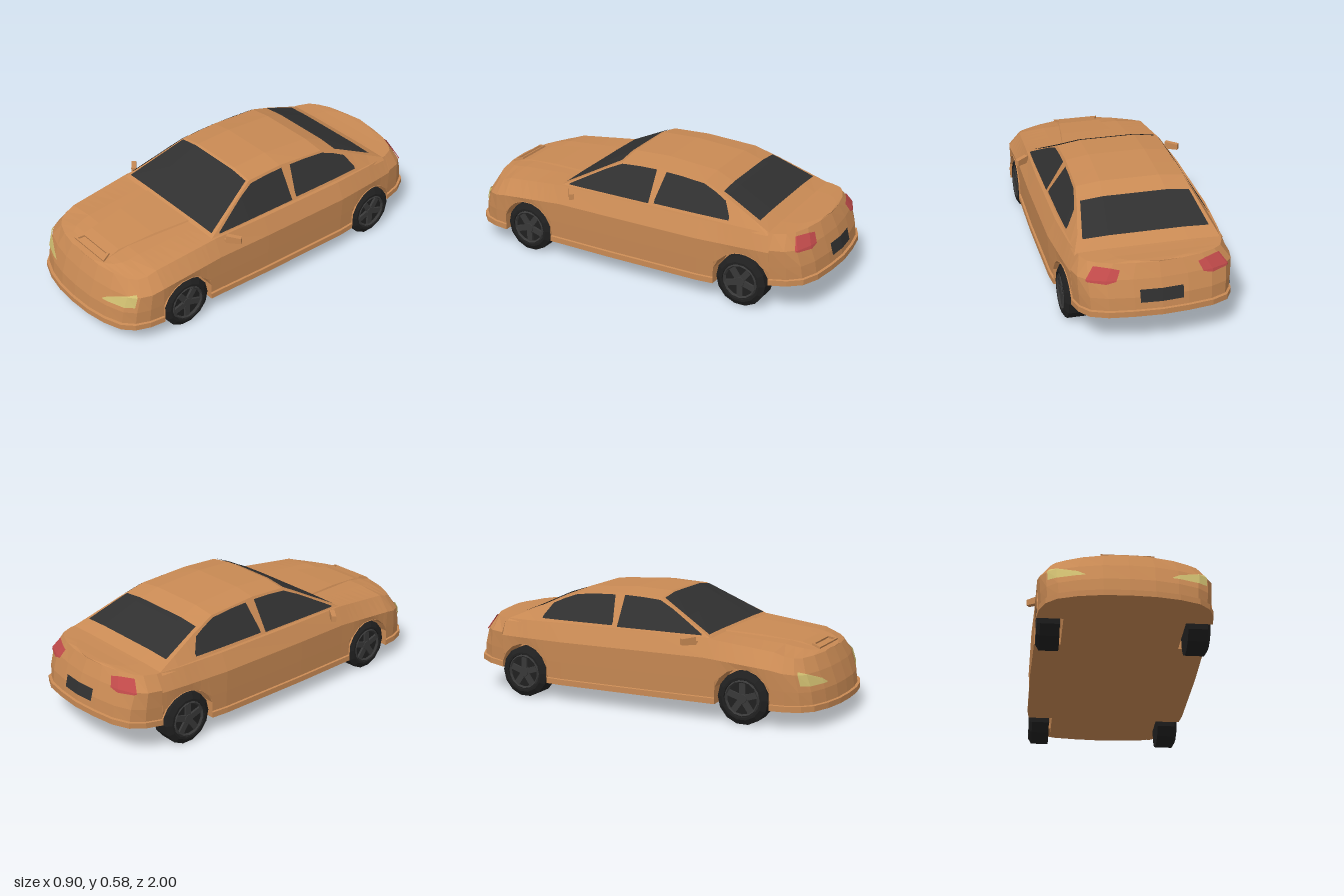
import * as THREE from 'three';

const mat = (name, color) => Object.assign(
  new THREE.MeshStandardMaterial({ color, flatShading: true, side: THREE.DoubleSide }), { name });

const lerp = THREE.MathUtils.lerp;

// Linear look-up in a table whose rows start with a falling z
function sample(table, z) {
  let i = 0;
  while (i < table.length - 2 && table[i + 1][0] > z) i++;
  const a = table[i], b = table[i + 1], t = (a[0] - z) / (a[0] - b[0]);
  return a.map((v, k) => lerp(v, b[k], t));
}

// Skin over sections running from front to back, each from +x up and over to -x
function loft(sections) {
  const pos = [];
  for (let i = 0; i < sections.length - 1; i++) {
    const s = sections[i], n = sections[i + 1];
    for (let j = 0; j < s.length - 1; j++) {
      pos.push(...s[j], ...n[j], ...s[j + 1], ...n[j], ...n[j + 1], ...s[j + 1]);
    }
  }
  const g = new THREE.BufferGeometry();
  g.setAttribute('position', new THREE.Float32BufferAttribute(pos, 3));
  g.computeVertexNormals();
  return g;
}

const flip = pts => pts.map(([x, y, z]) => [-x, y, z]).reverse();
// Full section from a half that runs from the top centre outward and down
const ring = half => [...half].reverse().concat(flip([...half].reverse()).slice(1));

// Body stations: z, half width, shoulder half width, shoulder y, centre y, lean of the ends
const BODY = [
  [1, 0, 0, .34, .342, .085], [.995, .12, .11, .338, .343, .085], [.975, .23, .21, .335, .347, .085],
  [.94, .325, .285, .332, .352, .08], [.89, .375, .325, .335, .36, .06], [.82, .402, .345, .345, .367, .03],
  [.742, .411, .352, .362, .377, 0], [.4, .413, .37, .4, .402, 0], [.1, .42, .38, .402, .404, 0],
  [-.4, .42, .38, .4, .402, 0], [-.63, .4, .365, .397, .401, 0], [-.772, .385, .345, .396, .4, 0],
  [-.86, .37, .32, .397, .401, -.03], [-.93, .33, .28, .398, .403, -.07],
  [-.97, .25, .21, .4, .405, -.08], [-.99, .13, .11, .4, .405, -.08], [-1, 0, 0, .4, .405, -.08],
];
// Cabin stations: z, centre y, edge y, edge half width, belt half width
const CABIN = [
  [.42, .397, .395, .36, .372], [.1, .576, .558, .262, .372], [-.1, .584, .567, .262, .372],
  [-.37, .565, .55, .27, .372], [-.5, .515, .503, .293, .37], [-.75, .4, .396, .345, .362],
];
const AXLES = [.6, -.63];

function arch(z) {
  const base = z < -.77 ? .14 + (-.77 - z) * .11 : .09;
  for (const c of AXLES) {
    const d = Math.abs(z - c);
    if (d < .1405) return .13 + Math.sqrt(.147 ** 2 - d * d);
  }
  return base;
}

// Half section of the body: hood, shoulder, side, lip, arch roof, inner arch wall, floor
function bodyHalf(z) {
  const [, w, ws, ys, yc, dz] = sample(BODY, z);
  const floor = z < -.77 ? arch(z) : .09, low = arch(z);
  const up = y => Math.max(y, low), inner = Math.min(.285, w);
  return [
    [0, yc, z - dz], [ws * .6, yc, z - dz], [ws, ys, z - dz],
    [w, up(lerp(floor, ys, .72)), z - dz * .6],
    [w * .988, up(lerp(floor, ys, .38)), z - dz * .25],
    [w * .975, up(floor + .03), z - dz * .15],
    [w, up(floor + .028), z], [w, low, z], [inner, low, z], [inner, floor, z], [0, floor, z],
  ];
}

// Thin patch on the body skin; columns are [station z, low y, high y]
function bodyPatch(cols, side) {
  const at = (z, y) => {
    const h = bodyHalf(z).slice(2, 6);
    let i = 0;
    while (i < 2 && h[i + 1][1] > y) i++;
    const t = (h[i][1] - y) / (h[i][1] - h[i + 1][1]);
    const p = h[i].map((v, k) => lerp(v, h[i + 1][k], t));
    return [p[0] + (p[0] > .02 ? .004 : 0), y, p[2] + Math.sign(z) * .006];
  };
  return loft(cols.map(([z, y0, y1]) => {
    const mid = THREE.MathUtils.clamp(bodyHalf(z)[3][1], y0, y1);
    const pts = [at(z, y0), at(z, mid), at(z, y1)];
    return side > 0 ? pts : flip(pts);
  }));
}

// Side window on the cabin; columns are [z, low y, high y]
function sideWindow(cols, side) {
  return loft(cols.map(([z, y0, y1]) => {
    const [, , ye, xe, xb] = sample(CABIN, z);
    const pts = [y0, y1].map(y => [lerp(xb, xe, (y - .385) / (ye - .385)) + .005, y + .003, z]);
    return side > 0 ? pts : flip(pts);
  }));
}

// Front or rear screen; rows are [z, fraction of the cabin width]
function screen(rows) {
  return loft(rows.map(([z, f]) => {
    const [, yc, ye, xe] = sample(CABIN, z);
    const lift = .005;
    return ring([[0, yc + lift, z], [xe * .55, yc + lift, z],
      [xe * f, lerp(yc, ye, (f - .55) / .45) + lift, z]]);
  }));
}

export function createModel() {
  const car = new THREE.Group();
  car.name = 'car';
  const paint = mat('orange paint', 0xc98a54), glass = mat('dark glass', 0x303030);
  const rubber = mat('tyre rubber', 0x202020), metal = mat('dark rim', 0x383838);
  const lamp = mat('headlight yellow', 0xd0be70), red = mat('tail light red', 0xc04a4a);
  const add = (name, geo, m, parent = car) => {
    const mesh = new THREE.Mesh(geo, m);
    mesh.name = name;
    parent.add(mesh);
    return mesh;
  };

  // Body shell with wheel arches
  const zs = BODY.map(r => r[0]);
  for (const c of AXLES) {
    for (const d of [.141, .14, .115, .075, .03]) zs.push(c + d, c - d);
  }
  zs.sort((a, b) => b - a);
  add('body', loft(zs.map(z => ring(bodyHalf(z)))), paint);

  // Cabin and roof
  const cz = CABIN.map(r => r[0]).concat([.34, .26, .18, 0, -.24, -.44, -.56, -.65]).sort((a, b) => b - a);
  add('cabin', loft(cz.map(z => {
    const [, yc, ye, xe, xb] = sample(CABIN, z);
    return ring([[0, yc, z], [xe * .55, yc, z], [xe, ye, z], [xb, .385, z]]);
  })), paint);
  add('windshield', screen([[.396, .95], [.26, .95], [.115, .95]]), glass);
  add('rearWindow', screen([[-.47, .94], [-.5, .94], [-.685, .93]]), glass);

  // Hood bulge and its intake frame
  add('hoodBulge', loft([[.885, .12, .346], [.79, .115, .374], [.6, .14, .396], [.41, .17, .408]]
    .map(([z, w, y]) => ring([[0, y, z], [w, y, z], [w + .015, y - .025, z]]))), paint);
  const frame = new THREE.Shape([[-.125, -.025], [.125, -.025], [.105, .025], [-.105, .025]]
    .map(p => new THREE.Vector2(...p)));
  frame.holes.push(new THREE.Path([[-.108, -.016], [-.094, .016], [.094, .016], [.108, -.016]]
    .map(p => new THREE.Vector2(...p))));
  const intake = add('intakeFrame', new THREE.ExtrudeGeometry(frame, { depth: .012, bevelEnabled: false }), paint);
  intake.position.set(0, .352, .86);
  intake.rotation.x = -Math.PI / 2 + .27;

  for (const s of [1, -1]) {
    const tag = s > 0 ? 'left' : 'right';
    // Windows and lights
    add(tag + 'FrontWindow', sideWindow([[.365, .407, .412], [.26, .407, .468], [.18, .407, .51], [.1, .407, .545],
      [0, .407, .552], [-.1, .407, .555], [-.135, .48, .555]].slice(0, 6), s), glass);
    add(tag + 'RearWindow', sideWindow([[-.13, .412, .43], [-.155, .412, .553], [-.24, .412, .55], [-.37, .412, .54],
      [-.44, .412, .515], [-.5, .412, .488], [-.54, .412, .425]], s), glass);
    add(tag + 'Headlight', bodyPatch([[.981, .21, .214], [.975, .21, .235], [.94, .21, .268], [.9, .215, .28]], s), lamp);
    add(tag + 'TailLight', bodyPatch([[-.918, .325, .385], [-.93, .322, .386], [-.97, .318, .383], [-.978, .33, .375]], s), red);
    add(tag + 'PlateHalf', bodyPatch([[-.9923, .23, .29], [-1, .23, .29]], s), glass);

    // Door mirror
    const mirror = new THREE.Group();
    mirror.name = tag + 'Mirror';
    mirror.position.set(s * .415, .387, .32);
    mirror.rotation.y = s * .65;
    const housing = new THREE.BoxGeometry(.075, .04, .024);
    const p = housing.attributes.position;
    for (let i = 0; i < p.count; i++) if (p.getX(i) * s > 0) p.setY(i, p.getY(i) * .75);
    add('mirrorHousing', housing, paint, mirror);
    add('mirrorStem', new THREE.BoxGeometry(.05, .016, .016), paint, mirror).position.set(-s * .035, -.01, 0);
    car.add(mirror);

    // Wheels
    for (const z of AXLES) {
      const wheel = new THREE.Group();
      wheel.name = tag + (z > 0 ? 'FrontWheel' : 'RearWheel');
      wheel.position.set(s * .3, .131, z);
      wheel.rotation.z = -s * Math.PI / 2;
      const profile = [[0, 0], [.131, 0], [.131, .092], [.105, .108], [.094, .108], [.088, .09], [0, .09]];
      add('tyre', new THREE.LatheGeometry(profile.map(q => new THREE.Vector2(...q)), 14), rubber, wheel);
      add('hub', new THREE.CylinderGeometry(.024, .03, .016, 10), metal, wheel).position.y = .097;
      const rim = add('rim', new THREE.TorusGeometry(.085, .008, 4, 14), metal, wheel);
      rim.rotation.x = Math.PI / 2;
      rim.position.y = .1;
      for (let k = 0; k < 5; k++) {
        const a = k * Math.PI * .4;
        const spoke = add('spoke', new THREE.BoxGeometry(.066, .012, .03), metal, wheel);
        spoke.position.set(Math.cos(a) * .053, .096, -Math.sin(a) * .053);
        spoke.rotation.y = a;
      }
      car.add(wheel);
    }
  }
  return car;
}
